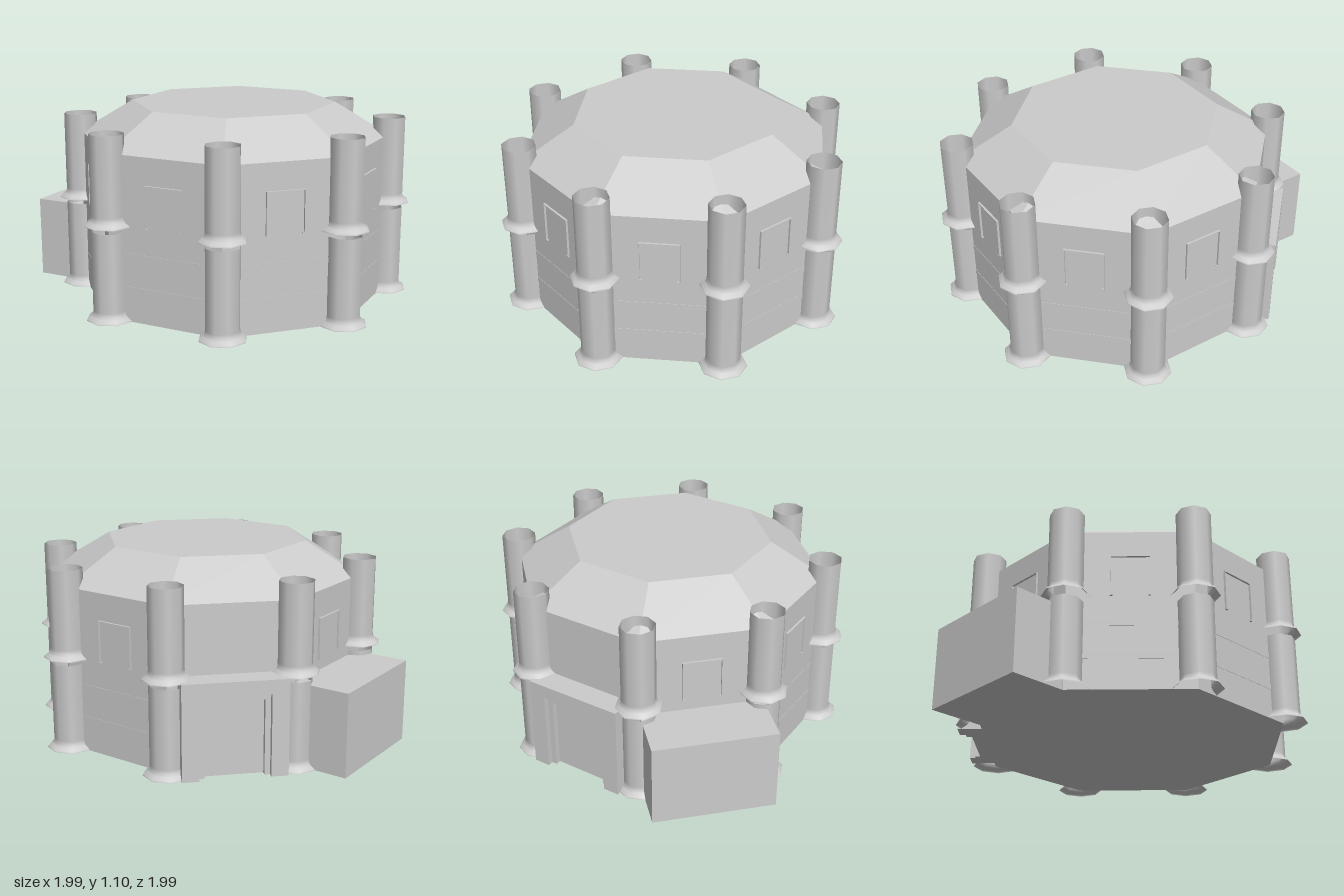
import * as THREE from 'three';

const CENTRE = 0.045;          // the hall sits slightly off centre because of the annex
const APOTHEM = 0.82;
const SIDE = 2 * APOTHEM * Math.tan(Math.PI / 8);
const RADIUS = APOTHEM / Math.cos(Math.PI / 8);

export function createModel() {
  const flat = new THREE.MeshStandardMaterial({ color: 0xcccccc, flatShading: true });
  const smooth = new THREE.MeshStandardMaterial({ color: 0xcccccc, side: THREE.DoubleSide });
  const model = new THREE.Group();
  const building = new THREE.Group();
  building.name = 'building';
  building.position.set(CENTRE, 0, CENTRE);
  model.add(building);

  function add(parent, name, geometry, material, x = 0, y = 0, z = 0) {
    const mesh = new THREE.Mesh(geometry, material);
    mesh.name = name;
    mesh.position.set(x, y, z);
    parent.add(mesh);
    return mesh;
  }
  const box = (parent, name, w, h, d, x, y, z) =>
    add(parent, name, new THREE.BoxGeometry(w, h, d), flat, x, y, z);

  // Octagonal hall and its truncated roof
  const octagon = (rTop, rBottom, h) =>
    new THREE.CylinderGeometry(rTop, rBottom, h, 8, 1, false, Math.PI / 8);
  add(building, 'hall', octagon(RADIUS, RADIUS, 0.915), flat, 0, 0.4575, 0);
  add(building, 'roof', octagon(0.5375 / Math.cos(Math.PI / 8), RADIUS, 0.185), flat, 0, 1.0075, 0);

  // Two stacked hollow columns with flared feet at every corner
  const profile = [[0.132, 0], [0.13, 0.008], [0.108, 0.022], [0.097, 0.036], [0.095, 0.055], [0.095, 0.495]];
  const column = new THREE.LatheGeometry(profile.map(([r, y]) => new THREE.Vector2(r, y)), 8);
  for (let i = 0; i < 8; i++) {
    const a = (i + 0.5) * Math.PI / 4;
    const x = RADIUS * Math.sin(a), z = RADIUS * Math.cos(a);
    add(building, 'lowerColumn', column, smooth, x, 0, z);
    add(building, 'upperColumn', column, smooth, x, 0.526, z);
  }

  // One group per wall, with +z pointing outwards
  for (let i = 0; i < 8; i++) {
    const wall = new THREE.Group();
    wall.name = 'wall';
    wall.rotation.y = i * Math.PI / 4;
    building.add(wall);

    if (i === 4) {
      addPorch(wall);
      continue;
    }
    addWindow(wall);
    if (i === 5) {
      box(wall, 'annex', 0.675, 0.468, 0.33, 0, 0.234, APOTHEM + 0.151);
    } else {
      for (const y of [0.185, 0.37])
        box(wall, 'wallBand', SIDE, 0.03, 0.004, 0, y, APOTHEM);
    }
  }

  // Thin raised window surround, open along most of the sill
  function addWindow(wall) {
    const w = 0.216, bottom = 0.53, top = 0.765, t = 0.005, depth = 0.024;
    box(wall, 'windowLintel', w, t, depth, 0, top - t / 2, APOTHEM);
    for (const s of [-1, 1]) {
      box(wall, 'windowJamb', t, top - bottom, depth, s * (w - t) / 2, (top + bottom) / 2, APOTHEM);
      box(wall, 'windowSill', 0.015, t, depth, s * (w / 2 - 0.0075), bottom + t / 2, APOTHEM);
    }
  }

  // Porch block with a stepped doorway
  function addPorch(wall) {
    const porch = new THREE.Group();
    porch.name = 'porch';
    porch.position.z = APOTHEM - 0.01;
    wall.add(porch);
    const arch = (name, w, h, openW, openH, depth) => {
      const s = new THREE.Shape([
        [-w / 2, 0], [-openW / 2, 0], [-openW / 2, openH], [openW / 2, openH],
        [openW / 2, 0], [w / 2, 0], [w / 2, h], [-w / 2, h],
      ].map(([x, y]) => new THREE.Vector2(x, y)));
      add(porch, name, new THREE.ExtrudeGeometry(s, { depth, bevelEnabled: false }), flat);
    };
    arch('porchBlock', 0.565, 0.535, 0.38, 0.46, 0.143);
    arch('doorFrame', 0.38, 0.46, 0.32, 0.42, 0.11);
    box(porch, 'door', 0.32, 0.42, 0.08, 0, 0.21, 0.04);
  }

  return model;
}
